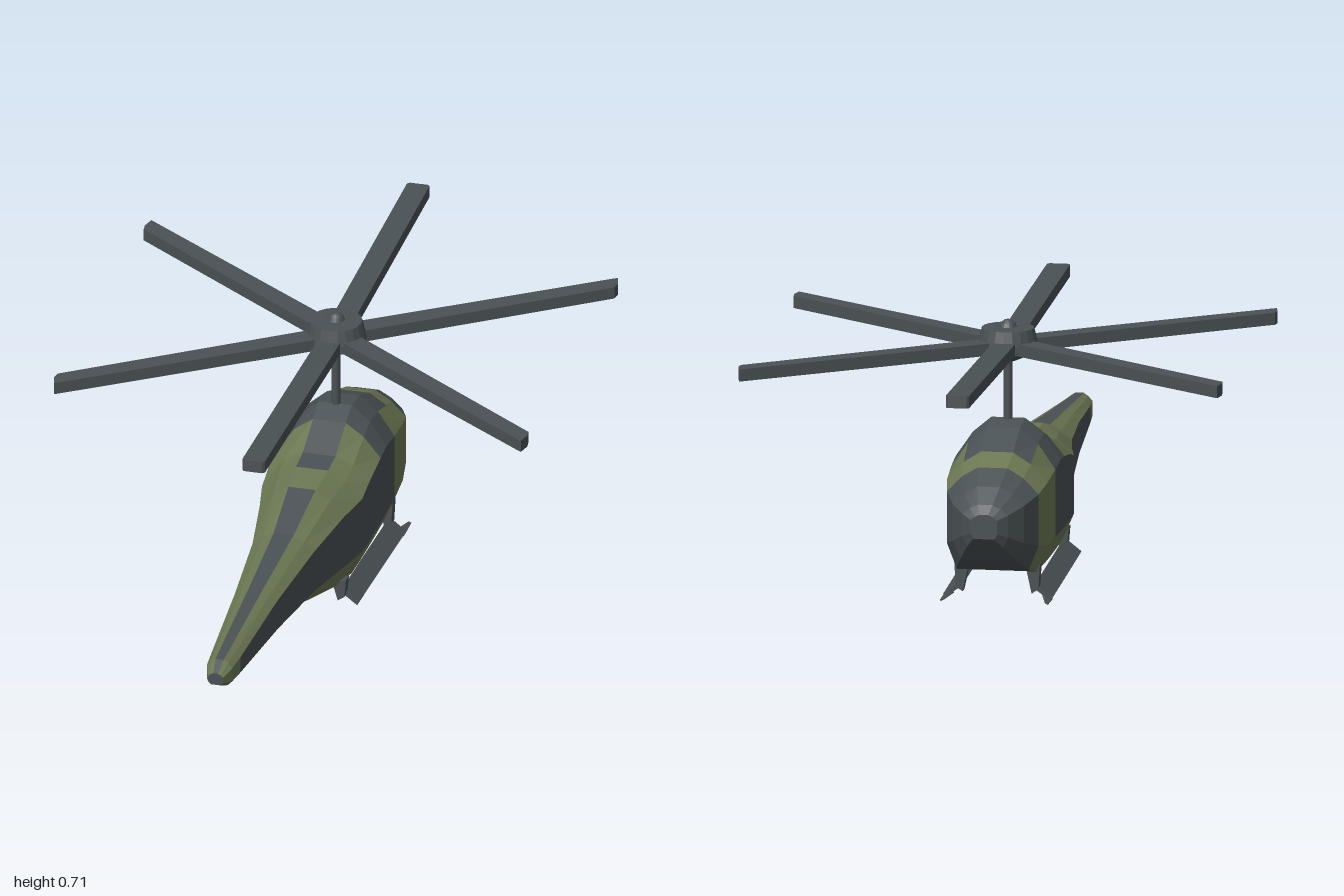
import * as THREE from 'three';

const grey = new THREE.MeshStandardMaterial({ color: 0x4a5154 });
grey.name = 'slate grey';
const green = new THREE.MeshStandardMaterial({ color: 0x6c7853 });
green.name = 'olive green';

// Faceted loft through rings (clockwise seen from +z, ordered from +z to -z).
// colourOf(segment, side) returns 0 for grey, 1 for green; the end caps are grey.
function loft(name, rings, colourOf = () => 0) {
  const faces = [[], []];
  const add = (c, ...pts) => pts.forEach((p) => faces[c].push(...p));
  const n = rings[0].length;
  for (let i = 0; i < rings.length - 1; i++) {
    for (let k = 0; k < n; k++) {
      const m = (k + 1) % n;
      const [a, b, c, d] = [rings[i][k], rings[i][m], rings[i + 1][m], rings[i + 1][k]];
      add(colourOf(i, k), a, b, c, a, c, d);
    }
  }
  const first = rings[0], last = rings[rings.length - 1];
  for (let k = 1; k < n - 1; k++) {
    add(0, first[0], first[k + 1], first[k]);
    add(0, last[0], last[k], last[k + 1]);
  }
  const group = new THREE.Group();
  group.name = name;
  faces.forEach((list, c) => {
    if (!list.length) return;
    const geo = new THREE.BufferGeometry();
    geo.setAttribute('position', new THREE.Float32BufferAttribute(list, 3));
    geo.computeVertexNormals();
    const mesh = new THREE.Mesh(geo, c ? green : grey);
    mesh.name = name + (c ? 'Green' : 'Grey');
    group.add(mesh);
  });
  return group;
}

// Fuselage stations: z, half width, then heights of roof, upper side, lower side, belly,
// and camouflage up to the next station for roof, shoulder, upper side, side, lower side, belly
const STATIONS = [
  [1.0, 0.02, 0.245, 0.235, 0.22, 0.212, 'dggggd'],
  [0.96, 0.034, 0.266, 0.245, 0.207, 0.194, 'dggggd'],
  [0.9, 0.039, 0.27, 0.247, 0.203, 0.186, 'dggdgd'],
  [0.6, 0.058, 0.295, 0.268, 0.185, 0.164, 'dggdgd'],
  [0.33, 0.083, 0.318, 0.28, 0.165, 0.128, 'dggdgd'],
  [0.15, 0.113, 0.362, 0.295, 0.15, 0.09, 'gggdgd'],
  [0.05, 0.134, 0.37, 0.3, 0.147, 0.082, 'dggdgd'],
  [-0.02, 0.136, 0.377, 0.32, 0.147, 0.081, 'dggdgd'],
  [-0.12, 0.137, 0.424, 0.335, 0.148, 0.081, 'ddddgd'],
  [-0.18, 0.137, 0.446, 0.34, 0.15, 0.081, 'ddddgd'],
  [-0.26, 0.136, 0.436, 0.33, 0.15, 0.081, 'ddgggd'],
  [-0.36, 0.131, 0.393, 0.315, 0.152, 0.081, 'gggggd'],
  [-0.43, 0.12, 0.366, 0.3, 0.165, 0.1, 'dddddd'],
  [-0.5, 0.093, 0.331, 0.283, 0.185, 0.138, 'dddddd'],
  [-0.55, 0.06, 0.294, 0.268, 0.21, 0.182, 'dddddd'],
  [-0.572, 0.035, 0.272, 0.258, 0.222, 0.208, 'dddddd'],
];

function fuselage() {
  const rings = STATIONS.map(([z, w, roof, upper, lower, belly]) => {
    // The belly is narrower under the tail boom than under the cabin
    const bellyWidth = w * (z > 0.2 ? 0.63 : 0.79);
    const half = [[w * 0.32, roof], [w * 0.67, roof + (upper - roof) * 0.38], [w, upper], [w, lower], [bellyWidth, belly]]
      .map(([x, y]) => [x, y, z]);
    return [...half, ...half.map(([x, y]) => [-x, y, z]).reverse()];
  });
  return loft('fuselage', rings, (i, k) => (STATIONS[i][6][k < 5 ? k + 1 : 9 - k] === 'g' ? 1 : 0));
}

// Bar along z between two quads of x,y, on the left (side 1) or right (side -1)
function bar(name, side, z0, quad0, z1, quad1) {
  const ring = (quad, z) => {
    const r = quad.map(([x, y]) => [x * side, y, z]);
    return side > 0 ? r : r.reverse();
  };
  return loft(name, [ring(quad0, z0), ring(quad1, z1)]);
}

function landingGear(side) {
  const gear = new THREE.Group();
  gear.name = side > 0 ? 'leftLandingGear' : 'rightLandingGear';
  // Slanted runner, lower towards the nose, with a thin tip
  const runner = (dy) => [[0.092, 0.05 + dy], [0.1, 0.059 + dy], [0.143, 0.025 + dy], [0.138, 0.016 + dy]];
  gear.add(bar('runner', side, 0.115, runner(0.009), -0.35, runner(-0.014)));
  gear.add(bar('runnerTip', side, -0.34, [[0.115, 0.014], [0.122, 0.02], [0.143, 0.008], [0.138, 0]],
    -0.405, [[0.132, 0.008], [0.134, 0.011], [0.142, 0.008], [0.14, 0.004]]));
  // Struts down from the belly
  for (const [z, low] of [[0.115, 0.04], [-0.345, 0.022]]) {
    const quad = [[0.075, 0.092], [0.112, 0.1], [0.108, low + 0.012], [0.09, low]];
    gear.add(bar('strut', side, z + 0.015, quad, z - 0.015, quad));
  }
  return gear;
}

// Flat blade extruded upwards from an outline in x,z
function blade(name, outline) {
  const shape = new THREE.Shape(outline.map(([x, z]) => new THREE.Vector2(x, -z)));
  const geo = new THREE.ExtrudeGeometry(shape, { depth: 0.032, bevelEnabled: false });
  geo.rotateX(-Math.PI / 2);
  const mesh = new THREE.Mesh(geo, grey);
  mesh.name = name;
  mesh.position.y = 0.622;
  return mesh;
}

function rotor() {
  const group = new THREE.Group();
  group.name = 'rotor';
  group.position.z = -0.185;

  const mast = new THREE.Mesh(new THREE.CylinderGeometry(0.012, 0.012, 0.18, 10), grey);
  mast.name = 'mast';
  mast.position.y = 0.52;
  group.add(mast);

  const profile = [[0, 0.597], [0.02, 0.598], [0.08, 0.624], [0.078, 0.645], [0.068, 0.685],
    [0.023, 0.687], [0.018, 0.698], [0.009, 0.705], [0, 0.706]].map(([x, y]) => new THREE.Vector2(x, y));
  const hubGeo = new THREE.LatheGeometry(profile, 20).toNonIndexed();
  hubGeo.computeVertexNormals();
  const hub = new THREE.Mesh(hubGeo, grey);
  hub.name = 'hub';
  group.add(hub);

  for (const sz of [1, -1]) {
    // Fore and aft blades rise gently towards their tips
    const long = blade('longBlade', [[-0.03, 0.04], [0.03, 0.04], [0.03, 0.81], [0.024, 0.816], [-0.024, 0.816], [-0.03, 0.81]]
      .map(([x, z]) => [x, z * sz]));
    long.rotation.x = -sz * 0.029;
    group.add(long);
    // Diagonal blades with obliquely cut tips
    for (const sx of [1, -1]) {
      group.add(blade('diagonalBlade', [[0.028, 0.058], [0.062, 0.012], [0.629, 0.424], [0.632, 0.445], [0.624, 0.479], [0.616, 0.474]]
        .map(([x, z]) => [x * sx, z * sz])));
    }
  }
  return group;
}

export function createModel() {
  const model = new THREE.Group();
  model.name = 'helicopter';
  model.add(fuselage(), rotor(), landingGear(1), landingGear(-1));
  return model;
}
